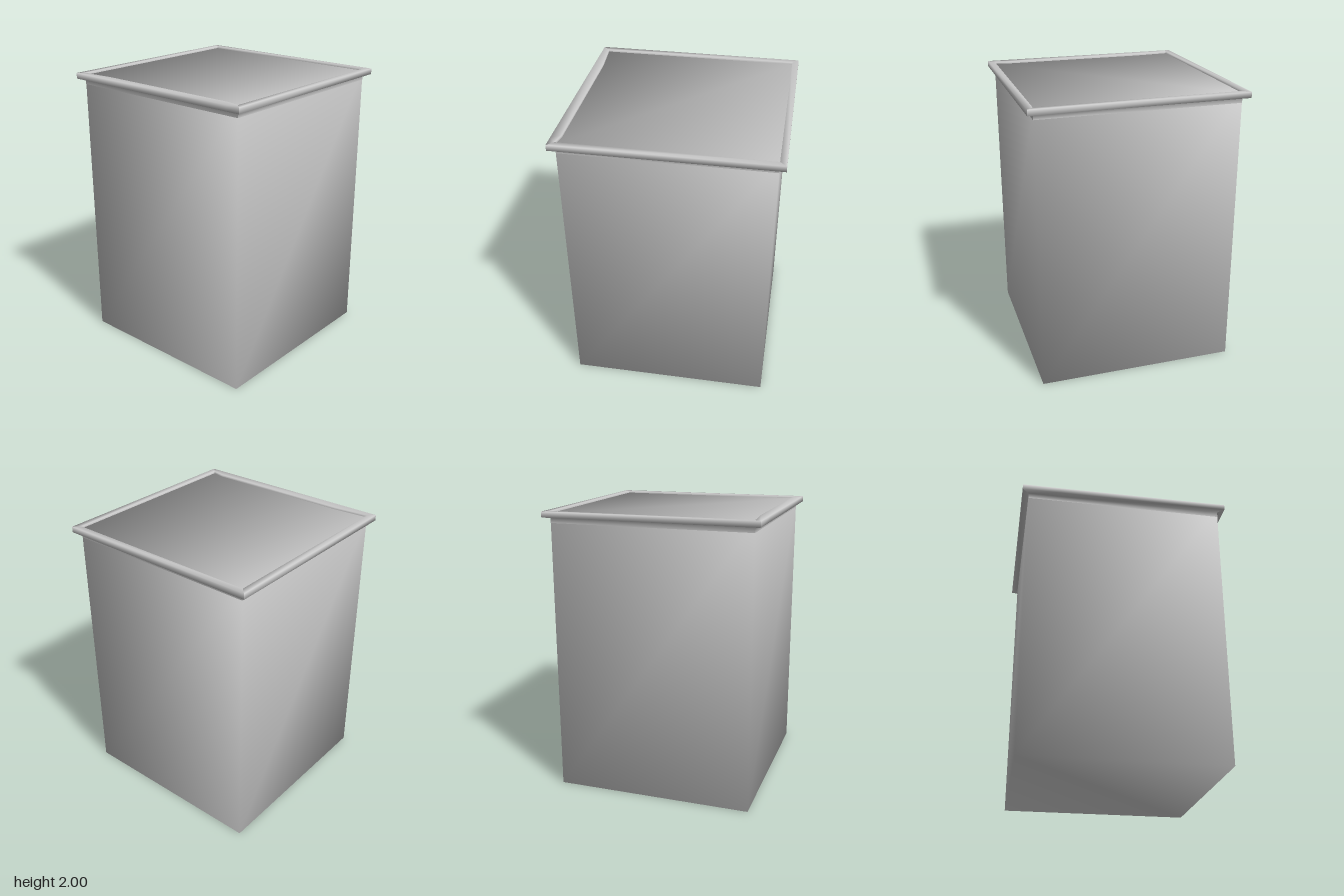
import * as THREE from 'three';
import { mergeVertices } from 'three/addons/utils/BufferGeometryUtils.js';

const HALF = 0.7;    // half width of the body
const RIM = 0.745;   // half width of the overhanging rim
const PANEL_Y = 1.985;

// Box whose faces share corners, so its normals are smoothed across edges
function smoothBox(w, h, d) {
  const box = new THREE.BoxGeometry(w, h, d);
  box.deleteAttribute('normal');
  box.deleteAttribute('uv');
  const geometry = mergeVertices(box);
  geometry.computeVertexNormals();
  return geometry;
}

// One mitred side of the rim: a stepped profile [radius, y] carried along x
function rimSide(innerBulge) {
  const band = HALF + 0.001;
  const profile = [
    [band, 1.92], [band, 1.96], [RIM, 1.96], [RIM, 2], [HALF, 2], [HALF, PANEL_Y - 0.005],
  ];
  const stations = innerBulge ? [-1, -0.64, 0.87, 1] : [-1, 1];
  const positions = [], index = [];
  const n = profile.length;
  stations.forEach((t, s) => {
    profile.forEach(([r, y], i) => {
      const inset = i >= 4 && Math.abs(t) < 1 ? innerBulge : 0;
      positions.push(t * r, y, r - inset);
      if (s > 0 && i > 0) {
        const a = (s - 1) * n + i - 1, b = s * n + i - 1;
        index.push(a, b, b + 1, a, b + 1, a + 1);
      }
    });
  });
  const geometry = new THREE.BufferGeometry();
  geometry.setAttribute('position', new THREE.Float32BufferAttribute(positions, 3));
  geometry.setIndex(index);
  geometry.computeVertexNormals();
  return geometry;
}

export function createModel() {
  const group = new THREE.Group();
  group.name = 'rimmedBox';
  const material = new THREE.MeshStandardMaterial({ color: 0xcccccc, side: THREE.DoubleSide });

  // Body with closed top panel and floor
  const body = new THREE.Mesh(smoothBox(2 * HALF, PANEL_Y, 2 * HALF), material);
  body.name = 'body';
  body.position.y = PANEL_Y / 2;
  group.add(body);

  // Stepped rim: four mitred sides, the one at -x slightly wider inside
  const rim = new THREE.Group();
  rim.name = 'rim';
  ['rimFront', 'rimLeft', 'rimBack', 'rimRight'].forEach((name, k) => {
    const side = new THREE.Mesh(rimSide(k === 3 ? 0.02 : 0), material);
    side.name = name;
    side.rotation.y = k * Math.PI / 2;
    rim.add(side);
  });
  group.add(rim);
  return group;
}
